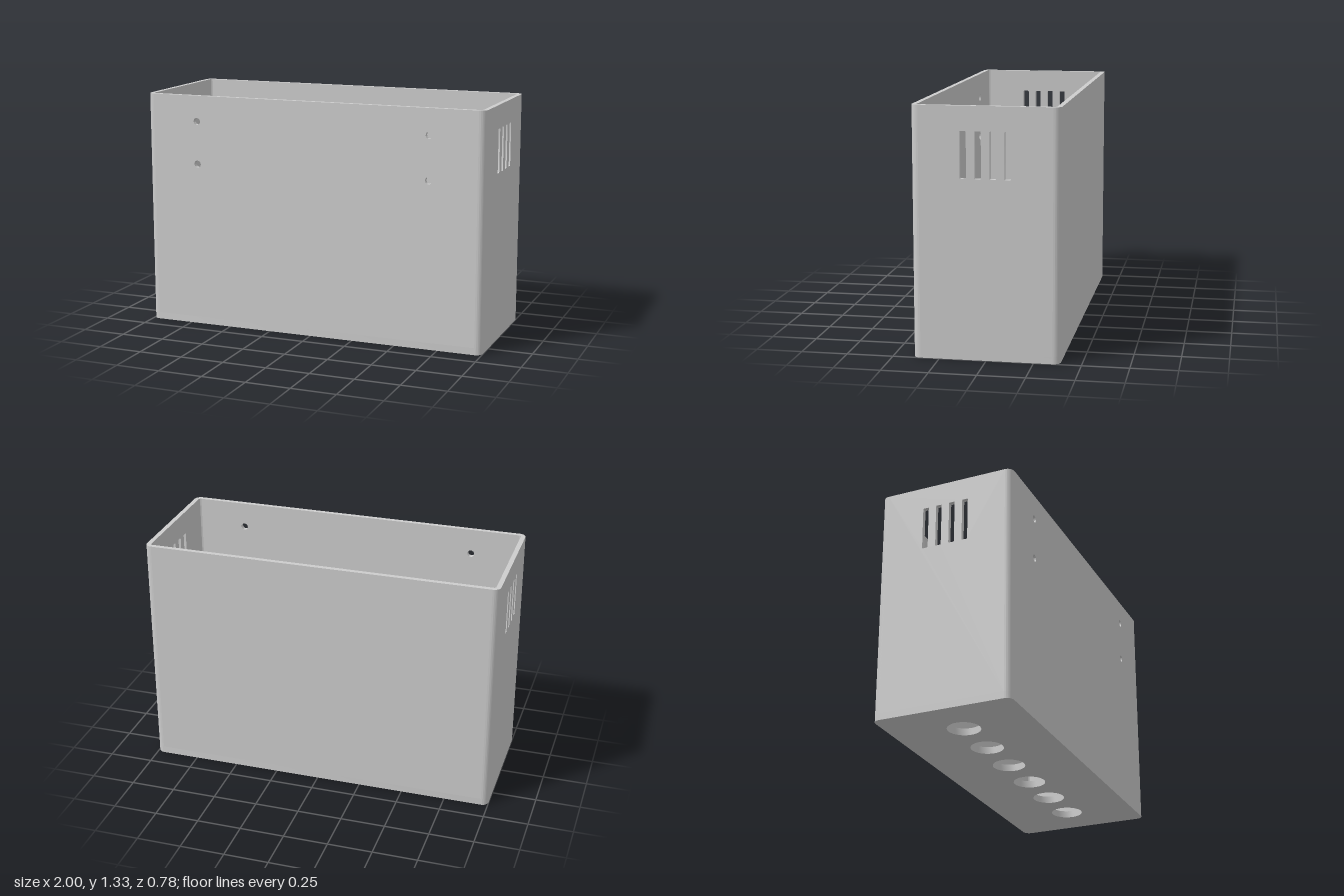
import * as THREE from 'three';
import { toCreasedNormals } from 'three/addons/utils/BufferGeometryUtils.js';

const W = 2, D = 0.778, H = 1.334; // outer size
const WALL = 0.026, FLOOR = 0.039, R = 0.039; // thicknesses, outer corner radius

// Rounded rectangle, usable as a Shape or as a hole Path
function roundedRect(path, cx, cy, w, h, r) {
  const x = w / 2 - r, y = h / 2 - r;
  path.absarc(cx + x, cy + y, r, 0, Math.PI / 2);
  path.absarc(cx - x, cy + y, r, Math.PI / 2, Math.PI);
  path.absarc(cx - x, cy - y, r, Math.PI, Math.PI * 1.5);
  path.absarc(cx + x, cy - y, r, Math.PI * 1.5, Math.PI * 2);
  path.closePath();
  return path;
}

const circle = (x, y, r) => new THREE.Path().absarc(x, y, r, 0, Math.PI * 2);

function extrude(shape, depth) {
  const geo = new THREE.ExtrudeGeometry(shape, { depth, bevelEnabled: false, curveSegments: 16 });
  return toCreasedNormals(geo, 0.6);
}

// Upright panel between two corners, standing on the floor plate
function panelShape(width) {
  const s = new THREE.Shape();
  s.moveTo(-width / 2, FLOOR);
  s.lineTo(width / 2, FLOOR);
  s.lineTo(width / 2, H);
  s.lineTo(-width / 2, H);
  s.closePath();
  return s;
}

export function createModel() {
  const group = new THREE.Group();
  const grey = new THREE.MeshStandardMaterial({ color: 0xcccccc });
  grey.name = 'grey';

  function add(name, geometry) {
    const mesh = new THREE.Mesh(geometry, grey);
    mesh.name = name;
    group.add(mesh);
    return mesh;
  }

  // Floor plate with a row of six round openings
  const floor = roundedRect(new THREE.Shape(), 0, 0, W, D, R);
  for (let i = 0; i < 6; i++) floor.holes.push(circle((i - 2.5) * 0.2886, 0, 0.09));
  add('floor', extrude(floor, FLOOR).rotateX(-Math.PI / 2));

  // Front wall with four screw holes, plain back wall
  const front = panelShape(W - 2 * R);
  for (const x of [-0.69, 0.69])
    for (const y of [0.942, 1.187]) front.holes.push(circle(x, y, 0.02));
  add('frontWall', extrude(front, WALL).translate(0, 0, D / 2 - WALL));
  add('backWall', extrude(panelShape(W - 2 * R), WALL).translate(0, 0, -D / 2));

  // Side walls with four vent slots each
  const side = panelShape(D - 2 * R);
  for (let i = 0; i < 4; i++)
    side.holes.push(roundedRect(new THREE.Path(), (i - 1.5) * 0.0777, 1.081, 0.033, 0.247, 0.005));
  const sideGeo = extrude(side, WALL).rotateY(Math.PI / 2);
  add('leftWall', sideGeo).position.x = W / 2 - WALL;
  add('rightWall', sideGeo).position.x = -W / 2;

  // Rounded vertical corners
  const arc = new THREE.Shape();
  arc.absarc(0, 0, R, 0, Math.PI / 2, false);
  arc.absarc(0, 0, R - WALL, Math.PI / 2, 0, true);
  arc.closePath();
  const cornerGeo = extrude(arc, H - FLOOR).rotateX(-Math.PI / 2);
  [[1, -1], [-1, -1], [-1, 1], [1, 1]].forEach(([sx, sz], i) => {
    const corner = add('corner' + (i + 1), cornerGeo);
    corner.position.set(sx * (W / 2 - R), FLOOR, sz * (D / 2 - R));
    corner.rotation.y = i * Math.PI / 2;
  });

  return group;
}
